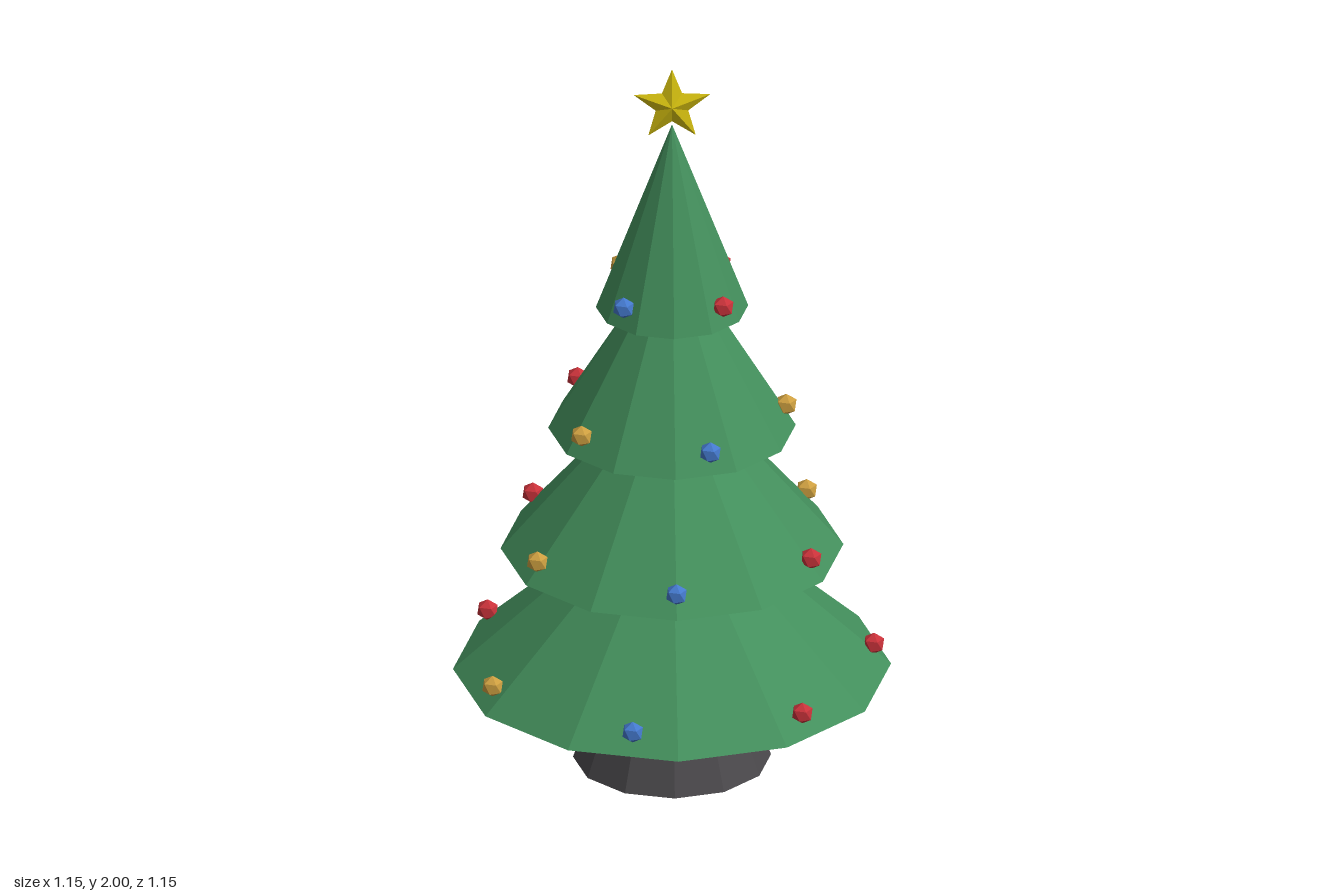
import * as THREE from 'three';

const flat = (name, color) => {
  const m = new THREE.MeshStandardMaterial({ color, flatShading: true });
  m.name = name;
  return m;
};

// Solid star: outline of ten points joined to a front and a back centre point
function starGeometry(outer, inner, depth) {
  const rim = [];
  for (let i = 0; i < 10; i++) {
    const a = Math.PI / 2 + (i * Math.PI) / 5;
    const r = i % 2 ? inner : outer;
    rim.push([r * Math.cos(a), r * Math.sin(a), 0]);
  }
  const pos = [];
  rim.forEach((p, i) => {
    const q = rim[(i + 1) % 10];
    pos.push(...p, ...q, 0, 0, depth);
    pos.push(...q, ...p, 0, 0, -depth);
  });
  const g = new THREE.BufferGeometry();
  g.setAttribute('position', new THREE.Float32BufferAttribute(pos, 3));
  g.computeVertexNormals();
  return g;
}

export function createModel() {
  const tree = new THREE.Group();
  tree.name = 'christmasTree';

  const green = flat('needle green', 0x438f5c);
  const brown = flat('trunk brown', 0x7d5f41);
  const grey = flat('base grey', 0x4b494c);
  const yellow = flat('star yellow', 0xd6c010);
  const red = flat('bauble red', 0xc8323a);
  const gold = flat('bauble gold', 0xcc9e40);
  const blue = flat('bauble blue', 0x4478cc);

  const add = (name, geometry, material, x, y, z) => {
    const mesh = new THREE.Mesh(geometry, material);
    mesh.name = name;
    mesh.position.set(x, y, z);
    tree.add(mesh);
    return mesh;
  };

  // Stand and trunk
  add('base', new THREE.CylinderGeometry(0.225, 0.26, 0.095, 12), grey, 0, 0.0475, 0);
  add('trunk', new THREE.CylinderGeometry(0.055, 0.055, 0.24, 8), brown, 0, 0.19, 0);

  // Bauble with one corner pointing straight up
  const bauble = new THREE.IcosahedronGeometry(0.03, 0);
  bauble.rotateZ(-Math.atan(2 / (1 + Math.sqrt(5))));
  const colours = [red, gold, blue];

  // Four tiers, each with a ring of baubles near its hem
  const height = 0.53;
  const tiers = [
    { radius: 0.575, ring: 0.53, count: 7, start: 0, first: 0 },
    { radius: 0.45, ring: 0.415, count: 6, start: Math.PI / 6, first: 1 },
    { radius: 0.325, ring: 0.3, count: 5, start: 0, first: 1 },
    { radius: 0.2, ring: 0.185, count: 4, start: Math.PI / 4, first: 0 },
  ];
  tiers.forEach((t, level) => {
    const y = 0.26 + level * 0.35;
    add('tier' + (level + 1), new THREE.ConeGeometry(t.radius, height, 12), green, 0, y + height / 2, 0);
    for (let i = 0; i < t.count; i++) {
      const a = t.start + (i * 2 * Math.PI) / t.count;
      add('bauble', bauble, colours[(t.first + i) % 3],
        t.ring * Math.cos(a), y + 0.06, -t.ring * Math.sin(a));
    }
  });

  // Star on the tip
  add('star', starGeometry(0.106, 0.045, 0.018), yellow, 0, 1.894, 0);

  return tree;
}
